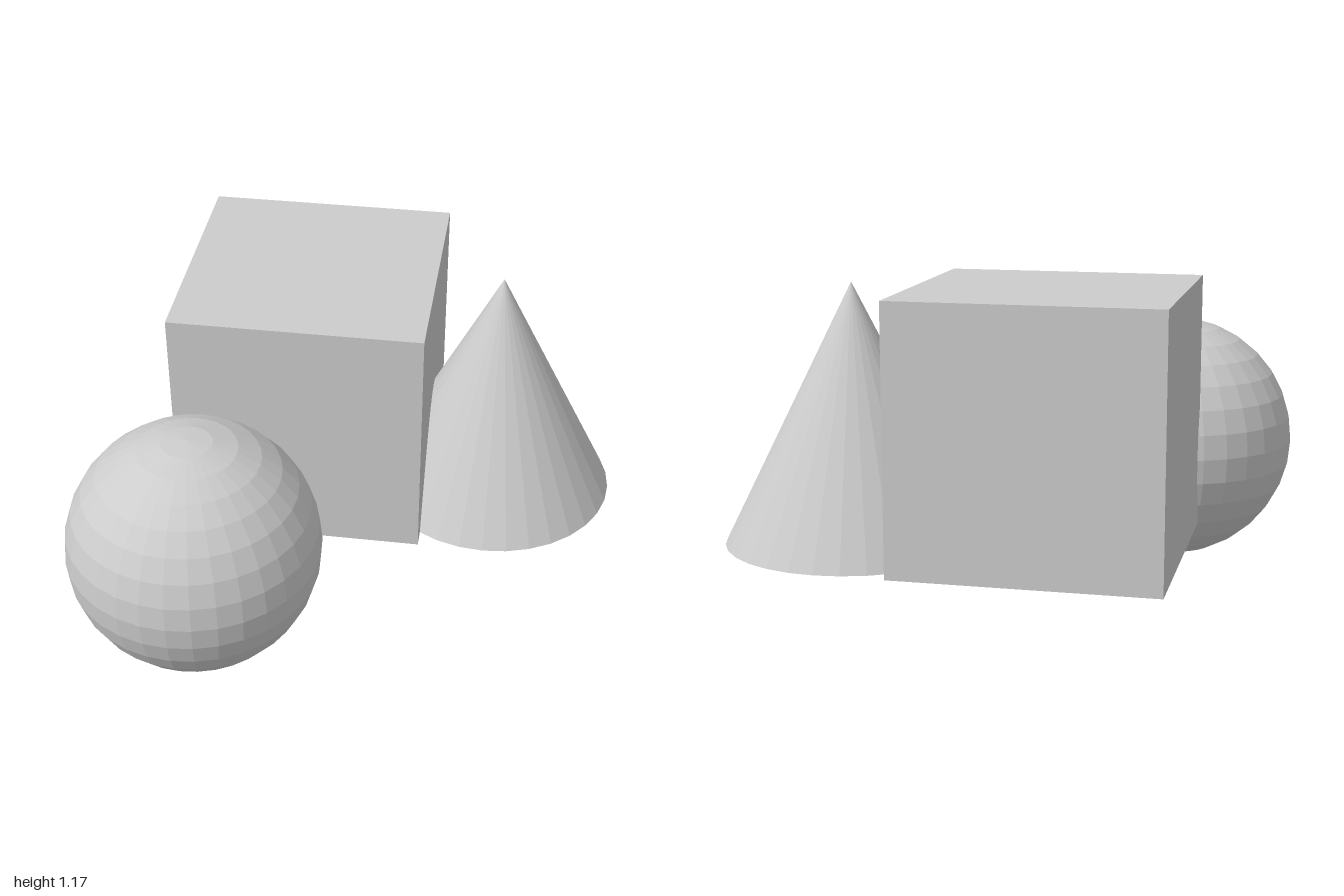
import * as THREE from 'three';

export function createModel() {
  const model = new THREE.Group();
  const grey = new THREE.MeshStandardMaterial({ color: 0xcccccc, flatShading: true });
  grey.name = 'light grey';

  const r = 0.476; // shared half-size of all three solids
  const add = (name, geometry, x, y, z) => {
    const mesh = new THREE.Mesh(geometry, grey);
    mesh.name = name;
    mesh.position.set(x, y, z);
    model.add(mesh);
  };

  // Faceted ball resting on the ground
  add('sphere', new THREE.SphereGeometry(r, 32, 16), -0.524, r, 0.439);
  // Raised cube overlapping the ball and the cone
  add('cube', new THREE.BoxGeometry(2 * r, 2 * r, 2 * r), -0.206, 0.696, -0.439);
  // Cone level with the cube
  add('cone', new THREE.ConeGeometry(r, 2 * r, 32), 0.524, 0.696, -0.439);

  return model;
}
